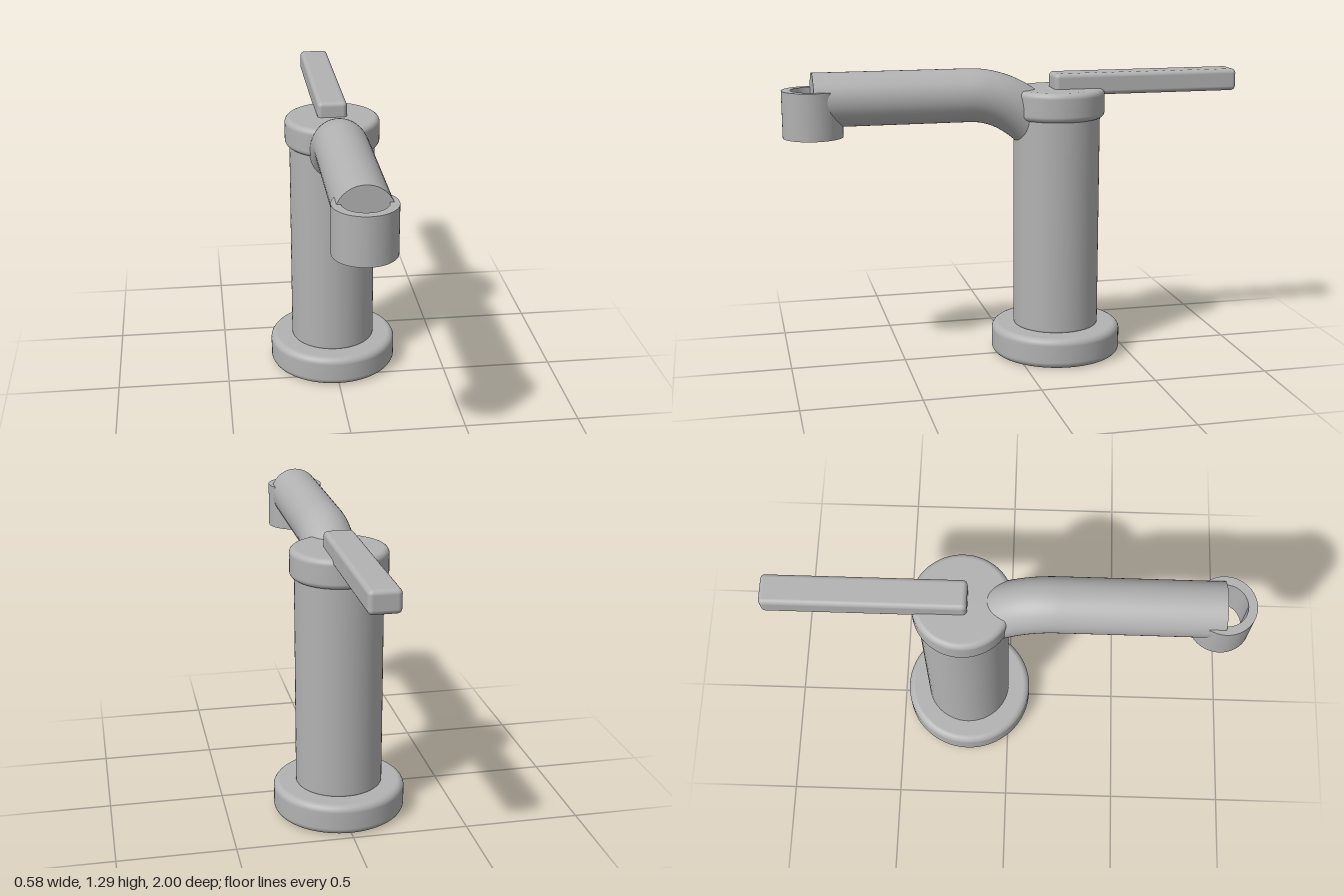
import * as THREE from 'three';
import { RoundedBoxGeometry } from 'three/addons/geometries/RoundedBoxGeometry.js';

const AXIS_Z = -0.19; // column axis
const OUTLET_Z = 0.87; // nozzle axis and end of the spout

// Solid disc with rounded rims, turned around the column axis
function roundedDrum(radius, y0, y1, r) {
  const pts = [new THREE.Vector2(0, y0)];
  const steps = 6;
  for (let i = 0; i <= steps; i++) {
    const a = -Math.PI / 2 + (i / steps) * Math.PI / 2;
    pts.push(new THREE.Vector2(radius - r + r * Math.cos(a), y0 + r + r * Math.sin(a)));
  }
  for (let i = 0; i <= steps; i++) {
    const a = (i / steps) * Math.PI / 2;
    pts.push(new THREE.Vector2(radius - r + r * Math.cos(a), y1 - r + r * Math.sin(a)));
  }
  pts.push(new THREE.Vector2(0, y1));
  return new THREE.LatheGeometry(pts, 64);
}

export function createModel() {
  const model = new THREE.Group();
  model.name = 'tap';
  const metal = new THREE.MeshStandardMaterial({ color: 0xb2b2b2 });
  metal.name = 'grey metal';

  const add = (name, geometry, x = 0, y = 0, z = 0) => {
    const mesh = new THREE.Mesh(geometry, metal);
    mesh.name = name;
    mesh.position.set(x, y, z);
    model.add(mesh);
    return mesh;
  };

  // Standing body
  add('base', roundedDrum(0.288, 0, 0.135, 0.03), 0, 0, AXIS_Z);
  add('column', roundedDrum(0.189, 0.13, 1.1, 0.012), 0, 0, AXIS_Z);
  add('collar', roundedDrum(0.209, 1.07, 1.197, 0.025), 0, 0, AXIS_Z);

  // Lever handle pointing backwards
  add('handle', new RoundedBoxGeometry(0.13, 0.096, 0.833, 4, 0.02), 0, 1.216, -0.5835);

  // Spout: straight run, then a bend down into the column
  const v = (y, z) => new THREE.Vector3(0, y, z);
  const path = new THREE.CurvePath();
  path.add(new THREE.LineCurve3(v(1.176, OUTLET_Z), v(1.176, 0.2)));
  path.add(new THREE.QuadraticBezierCurve3(v(1.176, 0.2), v(1.176, 0), v(0.96, -0.17)));
  add('spout', new THREE.TubeGeometry(path, 72, 0.115, 48, false));
  add('spoutEnd', new THREE.CircleGeometry(0.115, 48), 0, 1.176, OUTLET_Z);

  // Open ring nozzle
  const ring = new THREE.Shape().absarc(0, 0, 0.127, 0, Math.PI * 2, false);
  ring.holes.push(new THREE.Path().absarc(0, 0, 0.09, 0, Math.PI * 2, true));
  const nozzle = new THREE.ExtrudeGeometry(ring, { depth: 0.2, bevelEnabled: false, curveSegments: 48 });
  nozzle.rotateX(-Math.PI / 2);
  add('nozzle', nozzle, 0, 1.02, OUTLET_Z);

  return model;
}
